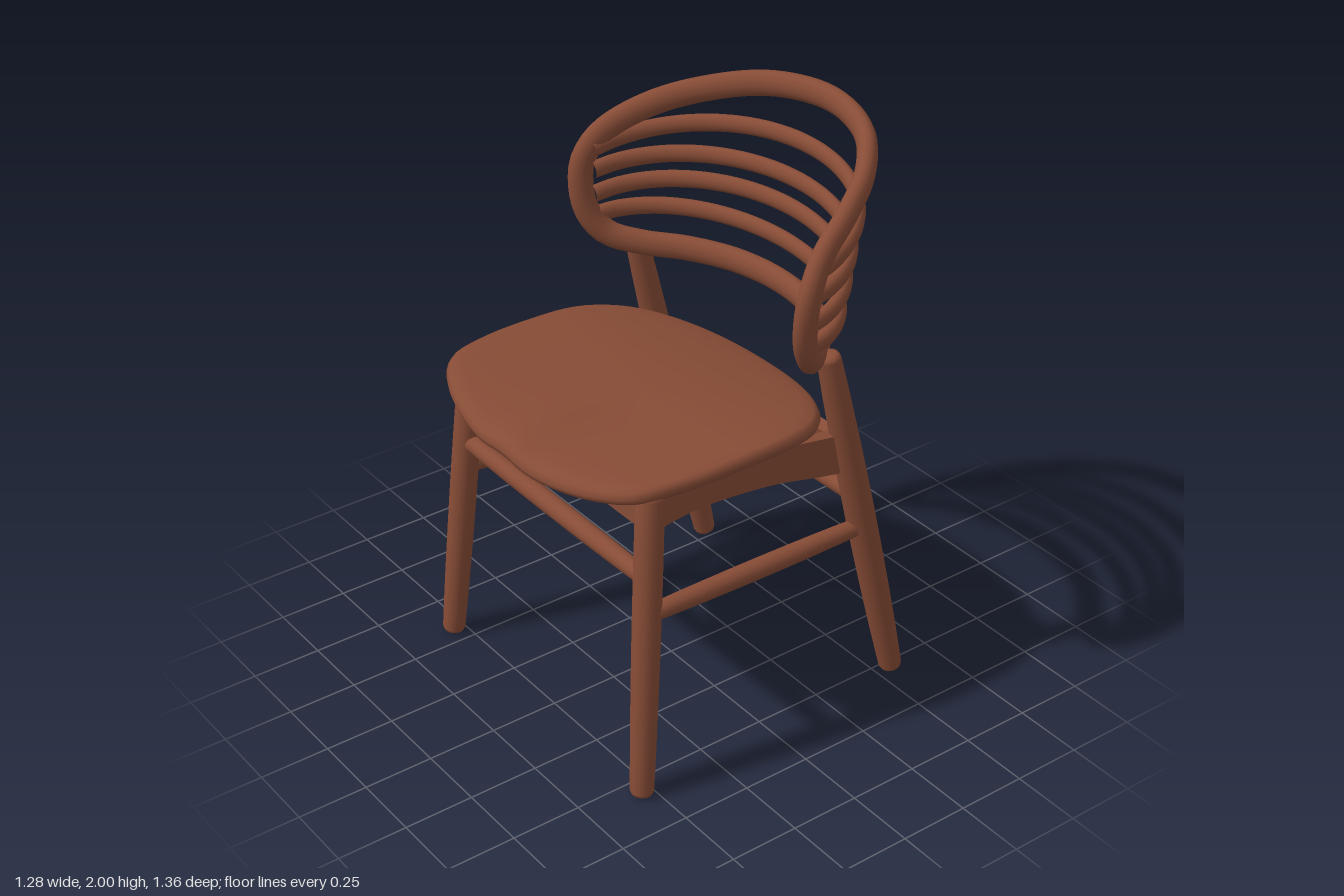
import * as THREE from 'three';

const V = (x, y, z) => new THREE.Vector3(x, y, z);

// Skin a list of equal-sized closed rings into a smooth surface
function loft(rings, closed = false) {
  const n = rings.length, m = rings[0].length, index = [];
  for (let i = 0; i < (closed ? n : n - 1); i++) {
    for (let j = 0; j < m; j++) {
      const i2 = (i + 1) % n, j2 = (j + 1) % m;
      const a = i * m + j, b = i * m + j2, c = i2 * m + j, d = i2 * m + j2;
      index.push(a, b, c, b, d, c);
    }
  }
  const g = new THREE.BufferGeometry().setFromPoints(rings.flat());
  g.setIndex(index);
  g.computeVertexNormals();
  return g;
}

// Oval bar along a curve; its thin axis points away from the chair's middle
function ovalBar(curve, steps, tall, thick, closed) {
  const rings = [];
  for (let i = 0; i < (closed ? steps : steps + 1); i++) {
    const p = curve.getPointAt(i / steps), t = curve.getTangentAt(i / steps);
    const n = V(p.x, 0, p.z - 0.05);
    n.addScaledVector(t, -n.dot(t)).normalize();
    const b = t.clone().cross(n);
    rings.push(Array.from({ length: 16 }, (_, j) => {
      const a = j / 16 * Math.PI * 2;
      return p.clone().addScaledVector(n, Math.cos(a) * thick).addScaledVector(b, Math.sin(a) * tall);
    }));
  }
  return loft(rings, closed);
}

// Turned rod from a to b with softened ends and a radius at start, middle, end
function rod(a, b, r0, rm, r1) {
  const L = a.distanceTo(b), e = 0.018;
  const profile = [[0, 0], [r0 * 0.6, 0], [r0 * 0.88, e * 0.3], [r0, e]];
  for (let i = 1; i < 8; i++) {
    const t = i / 8;
    const r = r0 * (1 - t) * (1 - 2 * t) + rm * 4 * t * (1 - t) + r1 * t * (2 * t - 1);
    profile.push([r, L * t]);
  }
  profile.push([r1, L - e], [r1 * 0.88, L - e * 0.3], [r1 * 0.6, L], [0, L]);
  const g = new THREE.LatheGeometry(profile.map(p => new THREE.Vector2(...p)), 20);
  g.applyQuaternion(new THREE.Quaternion().setFromUnitVectors(V(0, 1, 0), b.clone().sub(a).normalize()));
  return g.translate(a.x, a.y, a.z);
}

// Closed curve from half of a symmetric outline (first and last points on x = 0)
function mirroredLoop(half) {
  const right = half.map(p => V(...p));
  const left = right.slice(1, -1).reverse().map(p => V(-p.x, p.y, p.z));
  return [...right, ...left];
}

// Saddle-shaped top of the seat
function seatHeight(x, z) {
  const ridge = 0.022 * Math.exp(-((x / 0.09) ** 2)) * THREE.MathUtils.smoothstep(z, 0.2, 0.6);
  const back = z < 0.1 ? 0.085 * ((0.1 - z) / 0.53) ** 1.7 : 0;
  const front = z > 0.45 ? 0.02 * ((z - 0.45) / 0.23) ** 2 : 0;
  return 1.12 + 0.04 * (x / 0.58) ** 2 + ridge - back - front;
}

function seatGeometry() {
  const half = [[0, 0, -0.435], [0.2, 0, -0.41], [0.36, 0, -0.34], [0.49, 0, -0.22], [0.56, 0, -0.06],
    [0.58, 0, 0.15], [0.572, 0, 0.38], [0.53, 0, 0.53], [0.42, 0, 0.605], [0.25, 0, 0.655], [0, 0, 0.678]];
  const outline = new THREE.CatmullRomCurve3(mirroredLoop(half), true).getSpacedPoints(96).slice(0, 96);
  const section = [[0.001, 0], [0.2, 0], [0.4, 0], [0.6, 0], [0.78, 0], [0.9, 0], [0.96, -0.003], [0.985, -0.011],
    [1, -0.03], [0.99, -0.048], [0.965, -0.06], [0.9, -0.065], [0.6, -0.06], [0.3, -0.06], [0.001, -0.06]];
  const cz = 0.12;
  return loft(section.map(([s, dy]) => outline.map(p => {
    const x = p.x * s, z = cz + (p.z - cz) * s;
    return V(x, seatHeight(x, z) + dy, z);
  })));
}

export function createModel() {
  const group = new THREE.Group();
  const wood = new THREE.MeshStandardMaterial({ color: 0x874c36 });
  wood.name = 'brown wood';
  const add = (name, geometry) => {
    const mesh = new THREE.Mesh(geometry, wood);
    mesh.name = name;
    group.add(mesh);
    return mesh;
  };

  add('seat', seatGeometry());

  // Bent hoop around the backrest
  const hoop = [[0, 1.954, -0.648], [0.24, 1.938, -0.588], [0.41, 1.895, -0.45], [0.515, 1.842, -0.29],
    [0.578, 1.76, -0.14], [0.603, 1.67, -0.08], [0.602, 1.58, -0.066], [0.587, 1.48, -0.08], [0.55, 1.395, -0.135],
    [0.475, 1.36, -0.225], [0.36, 1.35, -0.335], [0.2, 1.345, -0.42], [0, 1.344, -0.45]];
  add('backHoop', ovalBar(new THREE.CatmullRomCurve3(mirroredLoop(hoop), true), 120, 0.045, 0.034, true));

  // Curved slats: end height, middle height, middle z
  [[1.71, 1.803, -0.572], [1.63, 1.683, -0.535], [1.54, 1.593, -0.508], [1.46, 1.485, -0.475]].forEach(([ye, yc, zc]) => {
    const pts = [];
    for (let i = 0; i <= 16; i++) {
      const a = (i / 16 - 0.5) * Math.PI, c = Math.cos(a);
      pts.push(V(0.575 * Math.sin(a), ye + (yc - ye) * c, -0.1 + (zc + 0.1) * c));
    }
    add('backSlat', ovalBar(new THREE.CatmullRomCurve3(pts), 48, 0.031, 0.023, false));
  });

  // Side apron with an arched lower edge, drawn in (-z, y)
  const apron = new THREE.Shape();
  apron.moveTo(-0.45, 1.095);
  apron.lineTo(-0.45, 0.97);
  apron.splineThru([[-0.4, 0.985], [-0.25, 0.995], [0, 0.97], [0.2, 0.925], [0.32, 0.9]].map(p => new THREE.Vector2(...p)));
  apron.lineTo(0.3, 1.05);
  apron.lineTo(0.1, 1.085);
  apron.closePath();

  for (const [side, s] of [['left', 1], ['right', -1]]) {
    add(side + 'FrontLeg', rod(V(0.57 * s, 0.003, 0.545), V(0.505 * s, 1.11, 0.457), 0.04, 0.047, 0.046));
    add(side + 'RearLeg', rod(V(0.535 * s, 0.01, -0.558), V(0.518 * s, 1.37, -0.232), 0.04, 0.051, 0.04));
    add(side + 'Stretcher', rod(V(0.543 * s, 0.685, 0.48), V(0.527 * s, 0.66, -0.38), 0.03, 0.035, 0.03));
    const g = new THREE.ExtrudeGeometry(apron, { depth: 0.045, bevelEnabled: false, curveSegments: 20 });
    add(side + 'Apron', g.rotateY(Math.PI / 2).translate(0.508 * s - 0.0225, 0, 0));
  }

  // Cross members between the legs
  add('frontStretcher', rod(V(-0.52, 0.803, 0.482), V(0.52, 0.803, 0.482), 0.03, 0.035, 0.03));
  add('rearStretcher', rod(V(-0.525, 0.783, -0.375), V(0.525, 0.783, -0.375), 0.03, 0.035, 0.03));
  add('frontApron', new THREE.BoxGeometry(0.98, 0.11, 0.045).translate(0, 1.03, 0.46));
  const rear = add('rearApron', new THREE.BoxGeometry(1.04, 0.12, 0.045));
  rear.position.set(0, 0.962, -0.33);
  rear.rotation.x = 0.2;

  return group;
}
